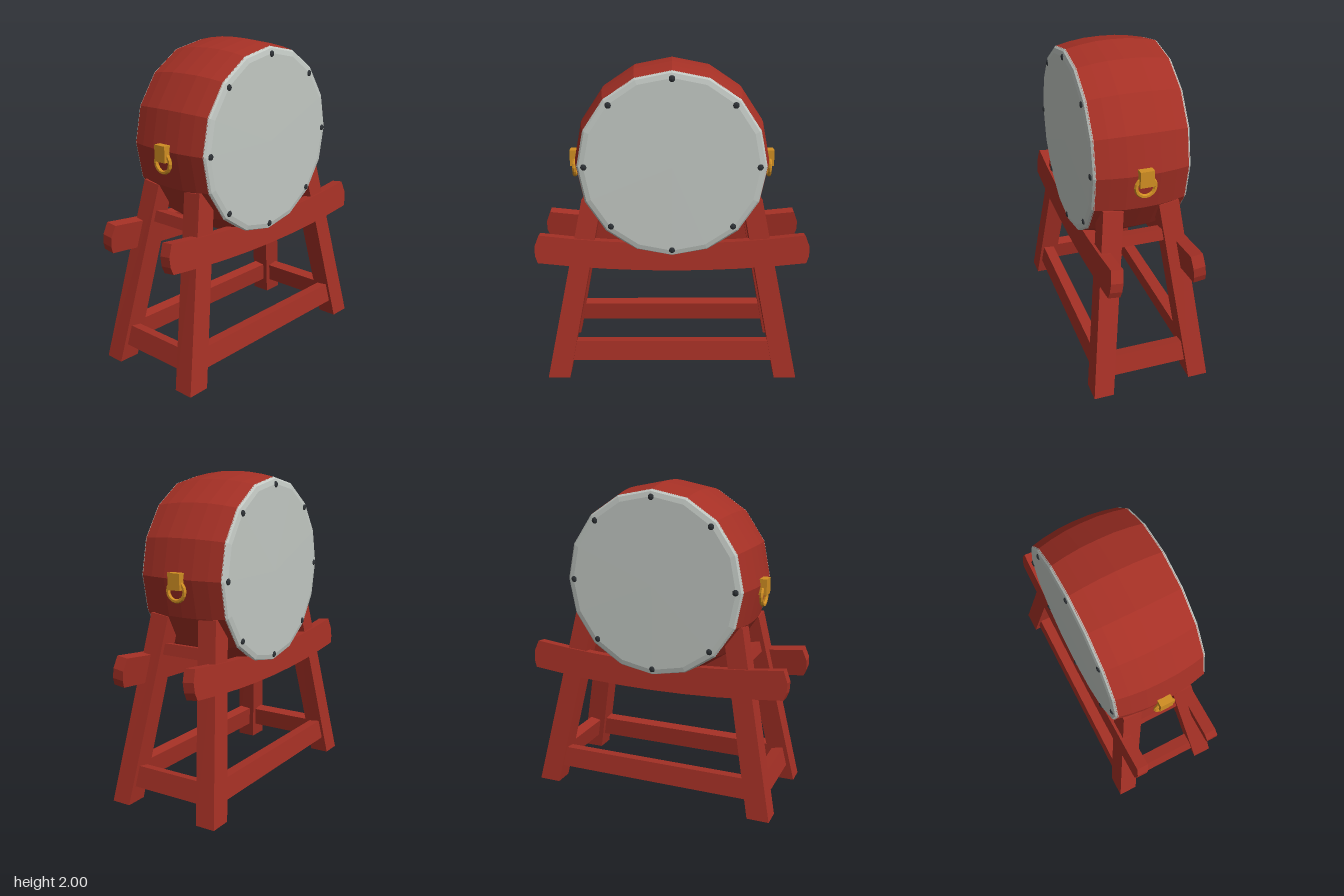
import * as THREE from 'three';

const red = new THREE.MeshStandardMaterial({ color: 0xa53025 });
red.name = 'redLacquer';
const skin = new THREE.MeshStandardMaterial({ color: 0xc2c8c3 });
skin.name = 'paleSkin';
const gold = new THREE.MeshStandardMaterial({ color: 0xd08e22 });
gold.name = 'brass';
const iron = new THREE.MeshStandardMaterial({ color: 0x2e3236 });
iron.name = 'darkIron';

const DRUM_Y = 1.39;

// Faceted mesh with hard edges
function part(name, geometry, material, x = 0, y = 0, z = 0) {
  const flat = geometry.index ? geometry.toNonIndexed() : geometry;
  flat.computeVertexNormals();
  const mesh = new THREE.Mesh(flat, material);
  mesh.name = name;
  mesh.position.set(x, y, z);
  return mesh;
}

const box = (w, h, d) => new THREE.BoxGeometry(w, h, d);

function lathe(profile) {
  return new THREE.LatheGeometry(profile.map(([r, y]) => new THREE.Vector2(r, y)), 16);
}

// Splayed leg: flat foot, top drawn inwards and slightly tilted
function legGeometry(side) {
  const g = box(1, 1, 1);
  const p = g.attributes.position;
  for (let i = 0; i < p.count; i++) {
    const top = p.getY(i) > 0;
    const outX = p.getX(i) * side > 0;
    const outZ = p.getZ(i) > 0;
    const x = top ? (outX ? 0.56 : 0.435) : (outX ? 0.8 : 0.66);
    const z = top ? (outZ ? 0.235 : 0.11) : (outZ ? 0.375 : 0.25);
    p.setXYZ(i, x * side, top ? (outZ ? 1.165 : 1.15) : 0, z);
  }
  return g;
}

// Sagging cradle beam with blunt pointed ends
function beamGeometry() {
  const s = new THREE.Shape();
  s.moveTo(-0.84, 0.765);
  s.quadraticCurveTo(0, 0.67, 0.84, 0.765);
  s.lineTo(0.856, 0.81);
  s.lineTo(0.858, 0.87);
  s.lineTo(0.83, 0.943);
  s.quadraticCurveTo(0, 0.84, -0.83, 0.943);
  s.lineTo(-0.858, 0.87);
  s.lineTo(-0.856, 0.81);
  const g = new THREE.ExtrudeGeometry(s, { depth: 0.075, bevelEnabled: false, curveSegments: 8 });
  return g.translate(0, -0.85, -0.0375);
}

// Everything on the front face; turned round for the back
function frontHalf(name) {
  const g = new THREE.Group();
  g.name = name;

  const head = part('drumHead',
    lathe([[0.577, 0.275], [0.577, 0.283], [0.565, 0.295], [0.535, 0.302], [0, 0.304]]), skin, 0, DRUM_Y, 0);
  head.rotation.x = Math.PI / 2;
  g.add(head);

  for (let i = 0; i < 8; i++) {
    const a = i * Math.PI / 4;
    const stud = part('stud', new THREE.SphereGeometry(0.02, 8, 6), iron,
      0.531 * Math.cos(a), DRUM_Y + 0.531 * Math.sin(a), 0.3);
    stud.scale.z = 0.55;
    g.add(stud);
  }

  const beam = part('cradleBeam', beamGeometry(), red, 0, 0.85, 0.253);
  beam.rotation.x = -0.12;
  const rail = part('longStretcher', box(1.3, 0.13, 0.075), red, 0, 0.17, 0.298);
  rail.rotation.x = -0.12;
  g.add(beam, rail);

  for (const side of [-1, 1]) g.add(part('leg', legGeometry(side), red));
  return g;
}

// Rails and handle on the left side; turned round for the right
function sideHalf(name) {
  const g = new THREE.Group();
  g.name = name;

  const rail = part('shortStretcher', box(0.075, 0.13, 0.5), red, 0.7, 0.165, 0);
  rail.rotation.z = 0.2;
  const tie = part('upperTie', box(0.08, 0.07, 0.34), red, 0.535, 0.945, 0);
  tie.rotation.z = 0.2;
  g.add(rail, tie);

  const ring = part('handleRing', new THREE.TorusGeometry(0.059, 0.013, 6, 16), gold, 0.62, 1.322, 0);
  ring.rotation.y = Math.PI / 2;
  g.add(part('handlePlate', box(0.05, 0.1, 0.085), gold, 0.622, 1.38, 0), ring);
  return g;
}

export function createModel() {
  const model = new THREE.Group();
  model.name = 'drumOnStand';

  // Barrel-shaped shell lying along z
  const shell = part('drumShell',
    lathe([[0.576, -0.285], [0.594, -0.2], [0.607, -0.1], [0.61, 0], [0.607, 0.1], [0.594, 0.2], [0.576, 0.285]]),
    red, 0, DRUM_Y, 0);
  shell.rotation.x = Math.PI / 2;
  model.add(shell);

  const back = frontHalf('backHalf');
  back.rotation.y = Math.PI;
  const right = sideHalf('rightSide');
  right.rotation.y = Math.PI;
  model.add(frontHalf('frontHalf'), back, sideHalf('leftSide'), right);
  return model;
}
